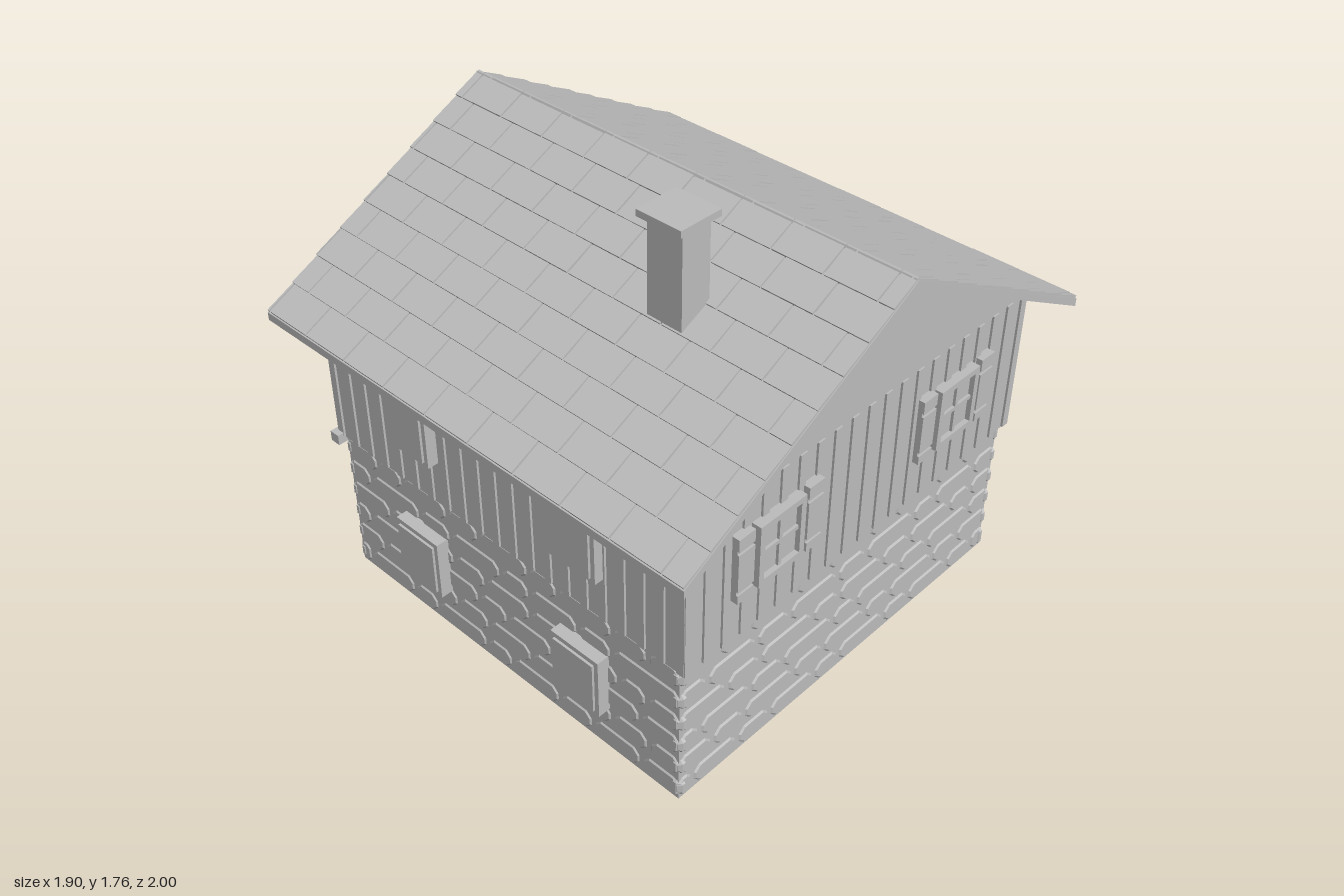
import * as THREE from 'three';

const grey = new THREE.MeshStandardMaterial({ color: 0xbdbdbd });
grey.name = 'plaster grey';

// Small seeded generator for irregular stones and shingles
let seed = 7;
const rand = () => (seed = (seed * 16807) % 2147483647) / 2147483647;

function add(parent, name, geometry) {
  const mesh = new THREE.Mesh(geometry, grey);
  mesh.name = name;
  parent.add(mesh);
  return mesh;
}

function addGroup(parent, name) {
  const g = new THREE.Group();
  g.name = name;
  parent.add(g);
  return g;
}

// Box given by its minimum and maximum on each axis
function block(parent, name, x0, x1, y0, y1, z0, z1) {
  const m = add(parent, name, new THREE.BoxGeometry(x1 - x0, y1 - y0, z1 - z0));
  m.position.set((x0 + x1) / 2, (y0 + y1) / 2, (z0 + z1) / 2);
  return m;
}

function prism(parent, name, points, z0, z1) {
  const shape = new THREE.Shape(points.map(p => new THREE.Vector2(...p)));
  const m = add(parent, name, new THREE.ExtrudeGeometry(shape, { depth: z1 - z0, bevelEnabled: false }));
  m.position.z = z0;
  return m;
}

// Chamfered stone with cut corners, facing +z
function stoneGeometry(w, h) {
  const b = 0.013, x = w / 2 - b, y = h / 2 - b, c = Math.min(0.02, x * 0.6);
  const shape = new THREE.Shape([
    [-x + c, -y], [x - c, -y], [x, -y + c], [x, y - c],
    [x - c, y], [-x + c, y], [-x, y - c], [-x, -y + c]
  ].map(p => new THREE.Vector2(...p)));
  return new THREE.ExtrudeGeometry(shape, {
    depth: 0.012, bevelEnabled: true, bevelSize: b, bevelThickness: 0.012, bevelSegments: 1
  });
}

// Six courses of alternating long and short stones
function stoneWall(parent, name, width) {
  const wall = addGroup(parent, name);
  const pitch = 0.58 / 6;
  for (let row = 0; row < 6; row++) {
    let x = -width / 2, i = row;
    let w = [0.07, 0.16, 0.1, 0.22, 0.13, 0.18][row];
    while (x < width / 2 - 0.01) {
      if (width / 2 - x - w < 0.06) w = width / 2 - x;
      const s = add(wall, 'stone', stoneGeometry(w - 0.005, pitch - 0.006));
      s.position.set(x + w / 2, (row + 0.5) * pitch, -0.012);
      x += w;
      w = i++ % 2 ? 0.12 + rand() * 0.04 : 0.21 + rand() * 0.05;
    }
  }
  return wall;
}

// Vertical battens on a wall facing +z
function battens(parent, name, width) {
  const g = addGroup(parent, name);
  const n = Math.round(width / 0.082);
  for (let i = 0; i <= n; i++) {
    const x = -width / 2 + 0.015 + (width - 0.03) * i / n;
    block(g, 'batten', x - 0.015, x + 0.015, 0.575, 1.12, -0.004, 0.008);
  }
  return g;
}

// Framed window with four panes and louvred shutters
function shutteredWindow(parent, x, y, z, back) {
  const g = addGroup(parent, 'shutteredWindow');
  block(g, 'pane', -0.09, 0.09, -0.105, 0.105, -0.02, 0.012);
  for (const s of [-1, 1]) {
    block(g, 'frameSide', s * 0.091 - 0.011, s * 0.091 + 0.011, -0.118, 0.118, -0.02, 0.03);
    block(g, 'frameRail', -0.08, 0.08, s * 0.107 - 0.011, s * 0.107 + 0.011, -0.02, 0.03);
    const cx = s * 0.155;
    block(g, 'shutter', cx - 0.035, cx + 0.035, -0.125, 0.125, -0.02, 0.018);
    for (const [y0, y1] of [[-0.125, -0.092], [-0.078, 0.066], [0.08, 0.125]])
      block(g, 'shutterPanel', cx - 0.035, cx + 0.035, y0, y1, 0.015, 0.025);
  }
  block(g, 'verticalBar', -0.007, 0.007, -0.1, 0.1, 0.01, 0.022);
  block(g, 'horizontalBar', -0.085, 0.085, -0.007, 0.007, 0.01, 0.022);
  g.position.set(x, y, z);
  if (back) g.rotation.y = Math.PI;
}

// Plain raised window on the side walls
function sideWindow(parent, side, y, z) {
  const g = addGroup(parent, 'sideWindow');
  block(g, 'frame', -0.105, 0.105, -0.118, 0.118, -0.02, 0.035);
  block(g, 'pane', -0.088, 0.088, -0.1, 0.1, 0.03, 0.044);
  g.position.set(side * 0.82, y, z);
  g.rotation.y = side * Math.PI / 2;
}

// Half of the shingled roof, sloping down toward local +x
function shingles(parent, name) {
  const side = addGroup(parent, name);
  const slope = addGroup(side, 'shingleSlope');
  const pitch = 1.086 / 9, half = 0.93, len = 0.196;
  for (let row = 0; row < 9; row++) {
    let z = -half, next = -half + (row % 2 ? 0.2 : 0.06 + rand() * 0.03);
    while (z < half - 0.005) {
      const end = Math.min(next, half);
      const x0 = row ? row * pitch - 0.012 : 0, x1 = (row + 1) * pitch;
      const s = block(slope, 'shingle', x0, x1, -0.016, -0.005, z + 0.003, end - 0.003);
      s.rotation.z = 0.05;
      s.position.y -= rand() * 0.002;
      z = end;
      next = z + len;
    }
  }
  slope.rotation.z = -Math.atan(0.553);
  side.position.set(0, 1.628, 0.07);
  return side;
}

export function createModel() {
  const house = new THREE.Group();
  house.name = 'cottage';

  // Stone ground floor
  block(house, 'stoneCore', -0.807, 0.807, 0, 0.58, -0.715, 0.858);
  stoneWall(house, 'frontStones', 1.635).position.z = 0.852;
  const backStones = stoneWall(house, 'backStones', 1.635);
  backStones.rotation.y = Math.PI;
  backStones.position.z = -0.709;
  for (const s of [-1, 1]) {
    const stones = stoneWall(house, s > 0 ? 'leftStones' : 'rightStones', 1.6);
    stones.rotation.y = s * Math.PI / 2;
    stones.position.set(s * 0.8, 0, 0.072);
  }

  // Boarded upper floor
  block(house, 'upperWall', -0.814, 0.814, 0.57, 1.12, -0.738, 0.882);
  battens(house, 'frontBattens', 1.64).position.z = 0.882;
  const backBattens = battens(house, 'backBattens', 1.64);
  backBattens.rotation.y = Math.PI;
  backBattens.position.z = -0.738;
  for (const s of [-1, 1]) {
    const b = battens(house, 'sideBattens', 1.63);
    b.rotation.y = s * Math.PI / 2;
    b.position.set(s * 0.814, 0, 0.072);
  }
  block(house, 'backLedge', -0.845, 0.845, 0.55, 0.59, -0.757, -0.715);

  // Gable and roof
  prism(house, 'gable', [[-0.82, 1.115], [0.82, 1.115], [0, 1.577]], -0.742, 0.884);
  prism(house, 'roofSlab', [
    [0, 1.612], [-0.948, 1.088], [-0.948, 1.058], [0, 1.584], [0.948, 1.058], [0.948, 1.088]
  ], -0.86, 1);
  shingles(house, 'leftShingles');
  shingles(house, 'rightShingles').rotation.y = Math.PI;

  // Chimney
  block(house, 'chimney', -0.415, -0.298, 1.3, 1.735, 0.35, 0.488);
  block(house, 'chimneyCap', -0.44, -0.272, 1.733, 1.757, 0.33, 0.505);

  // Windows
  for (const s of [-1, 1]) {
    shutteredWindow(house, s * 0.435, 0.872, 0.888, false);
    shutteredWindow(house, s * 0.435, 0.872, -0.748, true);
    for (const z of [0.455, -0.305]) {
      sideWindow(house, s, 0.868, z);
      sideWindow(house, s, 0.298, z);
    }
  }
  shutteredWindow(house, 0.42, 0.3, -0.745, true);

  // Back door with canopy and steps
  const porch = addGroup(house, 'porch');
  porch.position.x = -0.375;
  block(porch, 'canopy', -0.208, 0.208, 0.503, 0.53, -1, -0.71);
  block(porch, 'lintel', -0.155, 0.155, 0.43, 0.505, -0.83, -0.71);
  for (const s of [-1, 1])
    block(porch, 'doorPost', s * 0.135 - 0.02, s * 0.135 + 0.02, 0, 0.43, -0.775, -0.71);
  block(porch, 'door', -0.115, 0.115, 0.08, 0.43, -0.752, -0.71);
  for (let i = -2; i <= 2; i++)
    block(porch, 'doorPlank', i * 0.045 - 0.02, i * 0.045 + 0.02, 0.08, 0.43, -0.76, -0.75);
  block(porch, 'doorHandle', 0.075, 0.092, 0.21, 0.25, -0.79, -0.755);
  block(porch, 'lowerStep', -0.2, 0.2, 0, 0.03, -0.97, -0.71);
  block(porch, 'upperStep', -0.2, 0.2, 0.03, 0.08, -0.915, -0.71);

  return house;
}
